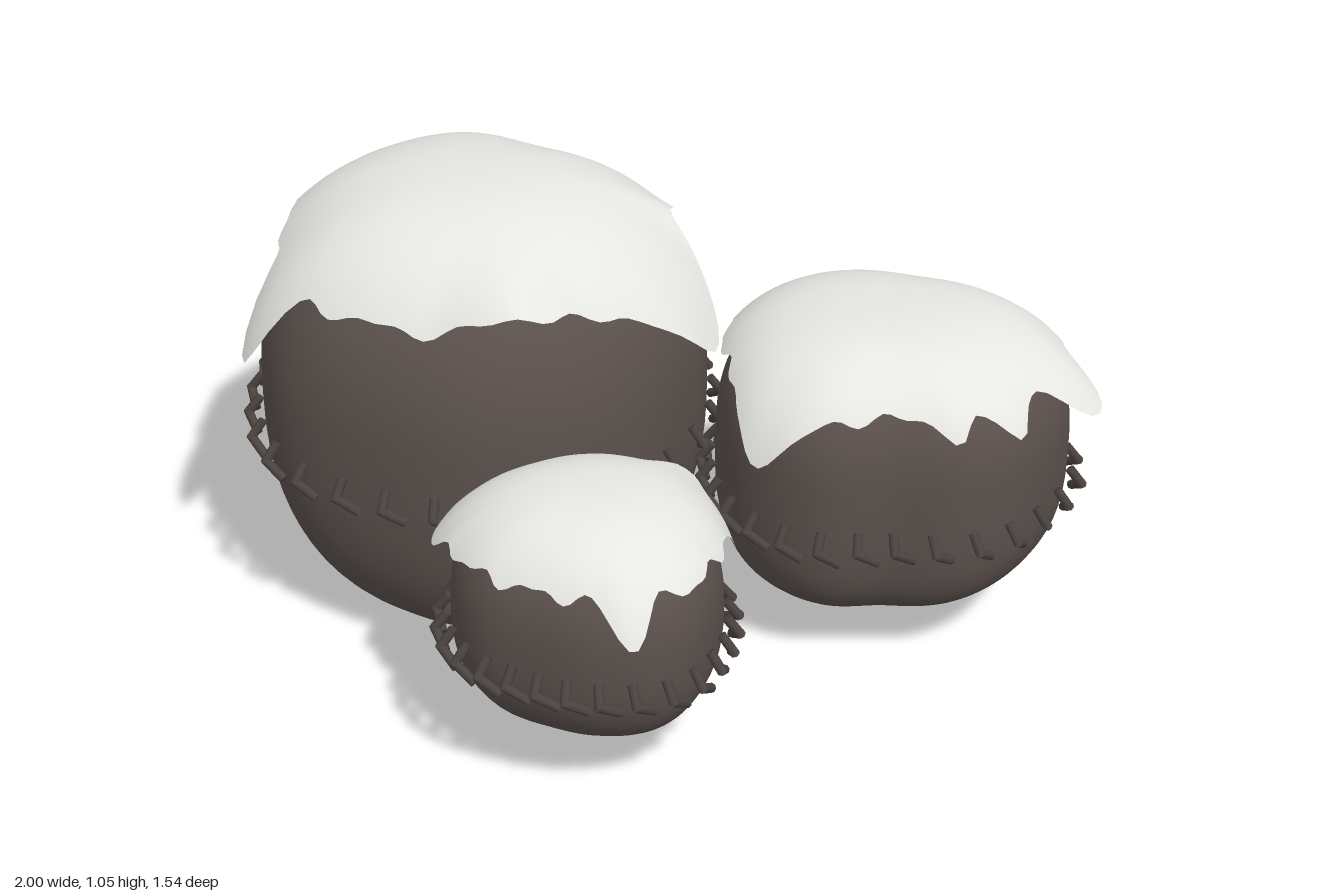
import * as THREE from 'three';
import { mergeGeometries, mergeVertices } from 'three/addons/utils/BufferGeometryUtils.js';

const stone = new THREE.MeshStandardMaterial({ color: 0x5a504c });
stone.name = 'dark stone';
const thread = new THREE.MeshStandardMaterial({ color: 0x4a4340 });
thread.name = 'dark thread';
const snow = new THREE.MeshStandardMaterial({ color: 0xe6e6e2, side: THREE.DoubleSide });
snow.name = 'snow';

const TAU = Math.PI * 2;
const SEGMENTS = 120;
const signedPow = (v, p) => Math.sign(v) * Math.abs(v) ** p;

// Each boulder: plan radii every 30 degrees from +x towards +z, roundness of
// the upper and lower half, shift and tilt of its underside,
// and snow drips of [degrees, drop, width in degrees, outward flare].
const boulders = [
  {
    name: 'largeBoulder', center: [-0.41, 0.5, -0.11], half: 0.5, powers: [0.8, 0.78],
    shift: [0.05, 0.04], tilt: [-0.08, -0.12], stitchY: 0.435, rimY: 0.83,
    radii: [0.53, 0.53, 0.52, 0.5, 0.51, 0.5, 0.53, 0.55, 0.58, 0.5, 0.54, 0.55],
    drips: [[357, 0.14, 14, 0.05], [50, -0.06, 14, 0.1], [130, 0.17, 8, 0.03], [165, -0.04, 14, 0],
      [215, 0.07, 12, 0.03], [237, 0.18, 9, 0.02], [268, 0.03, 15, 0.03], [328, -0.07, 10, 0.03]],
  },
  {
    name: 'mediumBoulder', center: [0.5, 0.42, -0.35], half: 0.325, powers: [0.68, 0.64],
    shift: [0, 0.02], tilt: [0, 0], stitchY: 0.35, rimY: 0.645,
    radii: [0.43, 0.4, 0.34, 0.37, 0.37, 0.36, 0.37, 0.38, 0.37, 0.36, 0.42, 0.46],
    drips: [[350, 0.07, 10, 0.06], [20, 0.05, 5, 0.01], [40, 0.04, 5, 0.01],
      [107, 0.1, 14, 0.025], [230, 0.11, 10, 0.03]],
  },
  {
    name: 'smallBoulder', center: [0.16, 0.36, 0.45], half: 0.26, powers: [0.78, 0.76],
    shift: [0, 0], tilt: [0, 0], stitchY: 0.305, rimY: 0.52,
    radii: [0.3, 0.32, 0.29, 0.27, 0.29, 0.3, 0.3, 0.27, 0.27, 0.28, 0.29, 0.29],
    drips: [[50, 0.07, 7, 0.03], [160, 0.03, 16, 0.02], [290, -0.03, 12, 0.03], [325, 0.06, 10, 0]],
  },
];

// Smooth closed interpolation of the plan radii
function planRadius(radii, angle) {
  const n = radii.length;
  const f = (angle / TAU) * n;
  const i = Math.floor(f), t = f - i;
  const [a, b, c, d] = [-1, 0, 1, 2].map(k => radii[(i + k + n) % n]);
  return b + 0.5 * t * (c - a + t * (2 * a - 5 * b + 4 * c - d + t * (3 * (b - c) + d - a)));
}

// Height and flare of the ragged snow edge at an angle
function rimAt(b, angle) {
  let y = b.rimY + 0.008 * Math.sin(angle * 13) + 0.005 * Math.sin(angle * 23);
  let flare = 0.005;
  for (const [deg, drop, width, out] of b.drips) {
    const away = Math.abs((angle / TAU * 360 - deg + 540) % 360 - 180);
    const weight = Math.exp(-((away / width) ** 2));
    y -= drop * weight;
    flare += out * weight;
  }
  return [y, flare];
}

// Point on a boulder; phi runs from its top to its bottom
function surfacePoint(b, angle, phi, lift = 0, flare = 0) {
  const power = b.powers[phi < Math.PI / 2 ? 0 : 1];
  const v = signedPow(Math.cos(phi), power);
  const sin = Math.max(0, Math.sin(phi));
  const r = planRadius(b.radii, angle) * sin ** power + lift * sin + flare;
  const dx = r * Math.cos(angle), dz = r * Math.sin(angle);
  const under = v < 0 ? v * v : 0;
  return [
    b.center[0] + b.shift[0] * under + dx,
    b.center[1] + b.half * v + lift * Math.cos(phi) + under * (b.tilt[0] * dx + b.tilt[1] * dz),
    b.center[2] + b.shift[1] * under + dz,
  ];
}

// Angle from the top at which a boulder reaches a height
function phiAtHeight(b, y) {
  const v = (y - b.center[1]) / b.half;
  return Math.acos(signedPow(v, 1 / b.powers[v > 0 ? 0 : 1]));
}

// Closed rings joined from top to bottom
function ringSurface(rows, point) {
  const positions = [], index = [];
  for (let i = 0; i <= rows; i++) {
    for (let j = 0; j < SEGMENTS; j++) positions.push(...point(i / rows, j / SEGMENTS * TAU));
  }
  for (let i = 0; i < rows; i++) {
    for (let j = 0; j < SEGMENTS; j++) {
      const a = i * SEGMENTS + j, b = i * SEGMENTS + (j + 1) % SEGMENTS;
      index.push(a, b, a + SEGMENTS, b, b + SEGMENTS, a + SEGMENTS);
    }
  }
  const geometry = new THREE.BufferGeometry();
  geometry.setAttribute('position', new THREE.Float32BufferAttribute(positions, 3));
  geometry.setIndex(index);
  const merged = mergeVertices(geometry, 1e-5);
  merged.computeVertexNormals();
  return merged;
}

// Straight round bar between two points
function bar(from, to, radius) {
  const dir = to.clone().sub(from);
  const geometry = new THREE.CylinderGeometry(radius, radius, dir.length() + radius, 8);
  const turn = new THREE.Quaternion().setFromUnitVectors(new THREE.Vector3(0, 1, 0), dir.normalize());
  const mid = from.clone().add(to).multiplyScalar(0.5);
  return geometry.applyQuaternion(turn).translate(mid.x, mid.y, mid.z);
}

// Belt of bent stitches around a boulder
function stitchBelt(b) {
  const parts = [];
  const count = 28;
  const phi = phiAtHeight(b, b.stitchY);
  for (let i = 0; i < count; i++) {
    const angle = (i + 0.5) / count * TAU;
    const base = new THREE.Vector3(...surfacePoint(b, angle, phi));
    const out = new THREE.Vector3(Math.cos(angle), 0, Math.sin(angle));
    const along = new THREE.Vector3(Math.sin(angle), 0, -Math.cos(angle));
    const at = (o, a, y) => base.clone().addScaledVector(out, o).addScaledVector(along, a).setY(b.stitchY + y);
    const bend = at(0.038, -0.015, 0);
    parts.push(bar(at(0.012, -0.015, 0.034), bend, 0.011), bar(bend, at(0.02, 0.028, -0.028), 0.011));
  }
  return mergeGeometries(parts);
}

export function createModel() {
  const model = new THREE.Group();
  model.name = 'snowyBoulders';
  for (const b of boulders) {
    const group = new THREE.Group();
    group.name = b.name;
    const add = (name, geometry, material) => {
      const mesh = new THREE.Mesh(geometry, material);
      mesh.name = name;
      group.add(mesh);
    };
    add('stoneBody', ringSurface(40, (t, angle) => surfacePoint(b, angle, t * Math.PI)), stone);
    // Snow sheet floats just above the stone and flares at its edge
    add('snowCap', ringSurface(24, (t, angle) => {
      const [rimY, flare] = rimAt(b, angle);
      return surfacePoint(b, angle, t * phiAtHeight(b, rimY), 0.035, flare * t ** 3);
    }), snow);
    add('stitchBelt', stitchBelt(b), thread);
    model.add(group);
  }
  return model;
}
